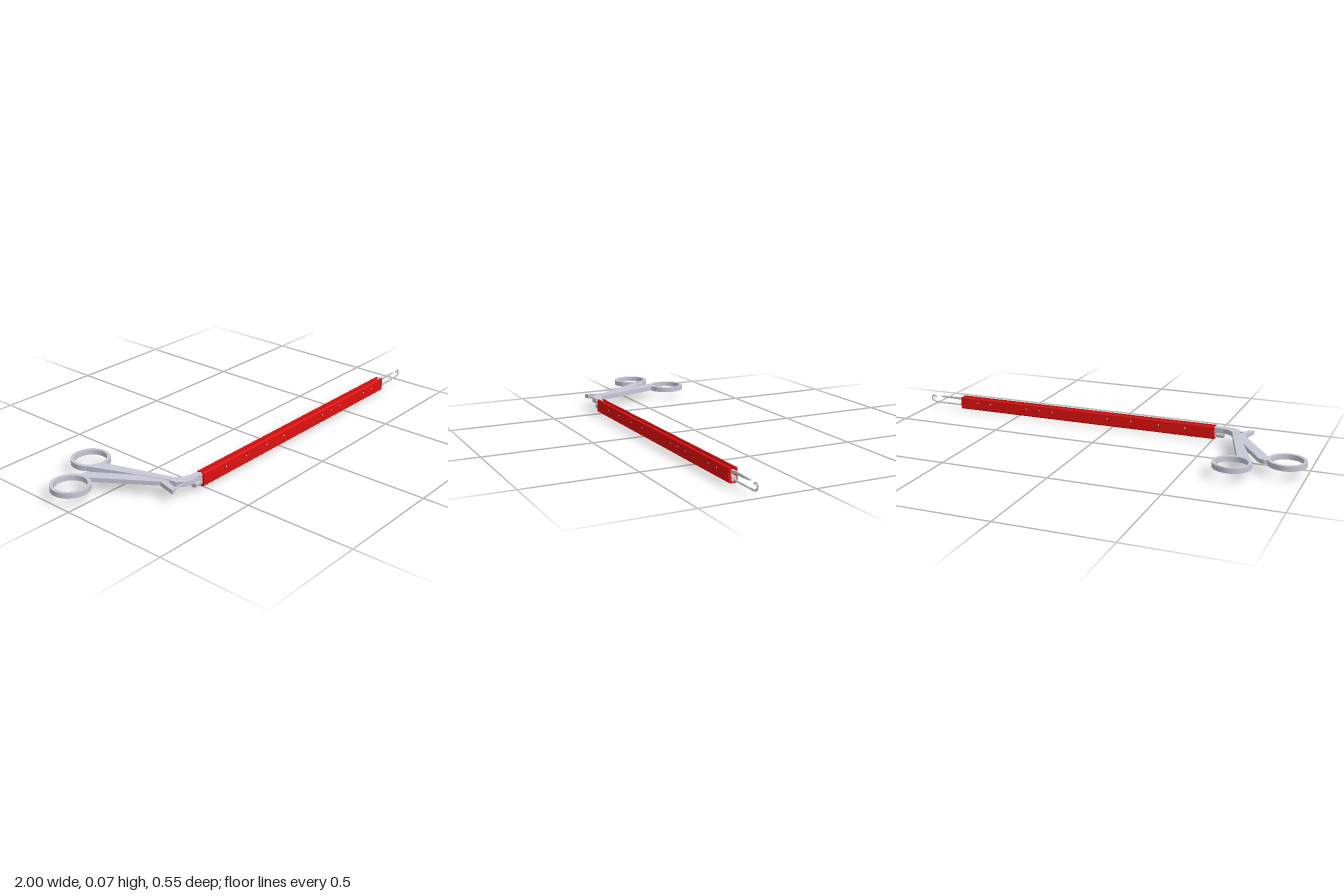
import * as THREE from 'three';

const steel = new THREE.MeshStandardMaterial({ color: 0xc8c8d6 });
const grey = new THREE.MeshStandardMaterial({ color: 0xcccccc });
const red = new THREE.MeshStandardMaterial({ color: 0xe01010 });
const AXIS_Z = 0.254; // centre line of the shaft

export function createModel() {
  const root = new THREE.Group();

  const add = (name, geometry, material, x = 0, y = 0, z = 0, parent = root) => {
    const mesh = new THREE.Mesh(geometry, material);
    mesh.name = name;
    mesh.position.set(x, y, z);
    parent.add(mesh);
    return mesh;
  };
  const polygon = (pts) => new THREE.Shape(pts.map(([x, y]) => new THREE.Vector2(x, y)));
  const extrude = (shape, depth) =>
    new THREE.ExtrudeGeometry(shape, { depth, bevelEnabled: false, curveSegments: 24 });
  // Flat plate drawn in plan as [x, z], raised from y0 to y1
  const plate = (name, pts, y0, y1, parent) =>
    add(name, extrude(polygon(pts.map(([x, z]) => [x, -z])), y1 - y0).rotateX(-Math.PI / 2), steel, 0, y0, 0, parent);
  // Profile drawn across the shaft, run along x
  const along = (name, shape, x0, x1, material) =>
    add(name, extrude(shape, x1 - x0).rotateY(Math.PI / 2), material, x0, 0, AXIS_Z);

  // Red sleeve: a U channel with rounded corners and a slot along the top
  const u = new THREE.Shape();
  u.moveTo(-0.019, 0.016);
  u.quadraticCurveTo(-0.019, 0.008, -0.011, 0.007);
  u.lineTo(0.011, 0.007);
  u.quadraticCurveTo(0.019, 0.008, 0.019, 0.016);
  u.lineTo(0.019, 0.062);
  u.quadraticCurveTo(0.019, 0.069, 0.013, 0.069);
  u.lineTo(0.007, 0.069);
  u.lineTo(0.007, 0.062);
  u.lineTo(0.010, 0.060);
  u.lineTo(0.010, 0.016);
  u.lineTo(-0.010, 0.016);
  u.lineTo(-0.010, 0.060);
  u.lineTo(-0.007, 0.062);
  u.lineTo(-0.007, 0.069);
  u.lineTo(-0.013, 0.069);
  u.quadraticCurveTo(-0.019, 0.069, -0.019, 0.062);
  u.closePath();
  along('sleeve', u, -0.51, 0.815, red);

  // Steel guide lying in the channel, reaching out to the handles
  along('innerGuide', polygon([[-0.0095, 0.0165], [0.0095, 0.0165], [0.0095, 0.036], [-0.0095, 0.036]]), -0.555, 0.825, grey);
  along('slidingRod', polygon([[-0.005, 0.046], [0.005, 0.046], [0.005, 0.058], [-0.005, 0.058]]), -0.58, 0.825, grey);
  add('neckCollar', new THREE.CylinderGeometry(0.013, 0.013, 0.035, 24).rotateZ(Math.PI / 2), steel, -0.535, 0.028, AXIS_Z);
  add('neckBlock', new THREE.BoxGeometry(0.05, 0.03, 0.018), steel, -0.53, 0.047, AXIS_Z);

  // Small pins through the sleeve
  for (const x of [-0.37, -0.24, -0.1, 0.02, 0.31, 0.38, 0.45, 0.65, 0.72]) {
    add('sleevePin', new THREE.CylinderGeometry(0.004, 0.004, 0.039, 12).rotateX(Math.PI / 2), grey, x, 0.046, AXIS_Z);
  }
  for (const y of [0.046, 0.06]) {
    add('guidePin', new THREE.CylinderGeometry(0.004, 0.004, 0.022, 12).rotateX(Math.PI / 2), grey, -0.525, y, 0.265);
  }
  for (const x of [-0.395, -0.315]) {
    add('bottomPin', new THREE.CylinderGeometry(0.004, 0.004, 0.014, 12), grey, x, 0.007, AXIS_Z);
  }

  // Finger rings
  const ring = (name, x, z, parent) => {
    const shape = new THREE.Shape().absarc(0, 0, 0.084, 0, Math.PI * 2);
    shape.holes.push(new THREE.Path().absarc(0, 0, 0.069, 0, Math.PI * 2, true));
    const geo = new THREE.ExtrudeGeometry(shape, { depth: 0.023, bevelEnabled: false, curveSegments: 48 });
    add(name, geo.rotateX(-Math.PI / 2), steel, x, 0.042, z, parent);
  };

  // Fixed handle: arm bending round into the shaft
  const fixed = new THREE.Group();
  fixed.name = 'fixedHandle';
  root.add(fixed);
  ring('fixedRing', -0.705, -0.192, fixed);
  plate('fixedArm', [
    [-0.776, -0.149], [-0.765, -0.135], [-0.735, -0.115], [-0.705, -0.109], [-0.615, 0.165],
    [-0.605, 0.2], [-0.585, 0.222], [-0.555, 0.234], [-0.505, 0.238], [-0.505, 0.264],
    [-0.545, 0.268], [-0.59, 0.267], [-0.615, 0.255], [-0.633, 0.23], [-0.648, 0.165],
  ], 0.042, 0.065, fixed);

  // Moving handle: arm crossing the pivot, with a short lever pulling the rod
  const moving = new THREE.Group();
  moving.name = 'movingHandle';
  root.add(moving);
  ring('movingRing', -0.915, -0.08, moving);
  plate('movingArm', [
    [-0.836, -0.108], [-0.82, -0.112], [-0.8, -0.105], [-0.622, 0.165], [-0.618, 0.19],
    [-0.645, 0.205], [-0.665, 0.262], [-0.69, 0.268], [-0.668, 0.18], [-0.835, -0.07],
    [-0.845, -0.05],
  ], 0.044, 0.063, moving);
  add('pivot', new THREE.CylinderGeometry(0.012, 0.012, 0.027, 24), steel, -0.632, 0.0535, 0.19, moving);
  add('pullRod', new THREE.CylinderGeometry(0.004, 0.004, 0.1, 12).rotateZ(Math.PI / 2), steel, -0.62, 0.053, 0.252, moving);

  // Upper jaw: slim blade tapering to a point
  const upper = polygon([[0.81, 0.049], [0.9, 0.05], [0.945, 0.053], [0.945, 0.057], [0.9, 0.059], [0.81, 0.061]]);
  add('upperJaw', extrude(upper, 0.007), grey, 0, 0, AXIS_Z - 0.0035);

  // Lower jaw: fine wire with teeth, curling up into a hook
  const path = new THREE.CatmullRomCurve3([
    [0.81, 0.023], [0.88, 0.023], [0.95, 0.023], [0.982, 0.026], [0.996, 0.038],
    [0.994, 0.052], [0.984, 0.056], [0.975, 0.051],
  ].map(([x, y]) => new THREE.Vector3(x, y, AXIS_Z)));
  add('lowerJaw', new THREE.TubeGeometry(path, 60, 0.003, 8), grey);
  const tooth = new THREE.SphereGeometry(0.005, 8, 6);
  for (let i = 0; i <= 18; i++) {
    const p = path.getPointAt(i / 18);
    add('jawTooth', tooth, grey, Math.min(p.x, 0.995), p.y, p.z);
  }

  return root;
}
